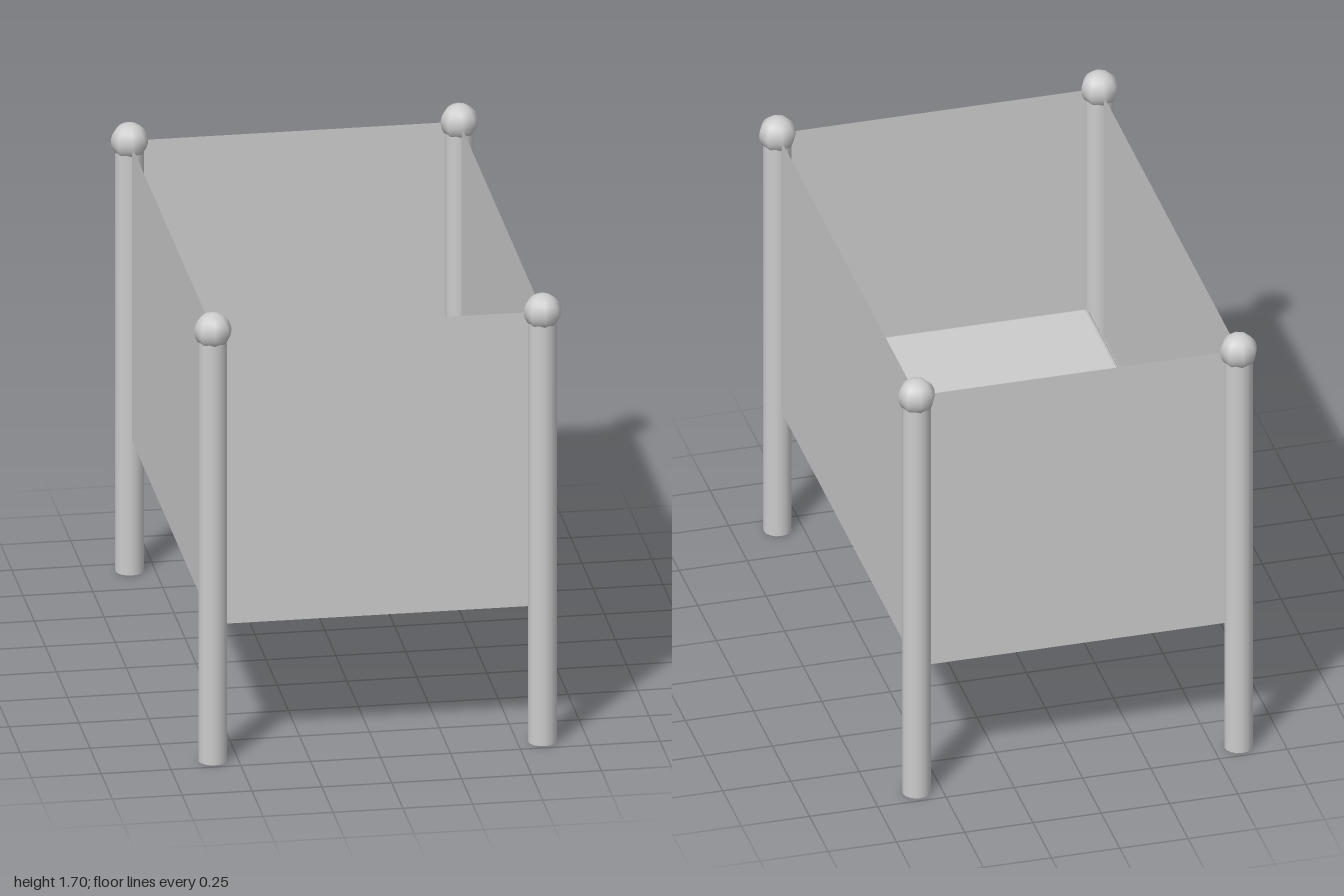
import * as THREE from 'three';
import { RoundedBoxGeometry } from 'three/addons/geometries/RoundedBoxGeometry.js';

export function createModel() {
  const group = new THREE.Group();
  group.name = 'crib';

  const grey = new THREE.MeshStandardMaterial({ color: 0xcccccc });
  grey.name = 'light grey';
  grey.side = THREE.DoubleSide; // the wall panels are single sheets

  const add = (name, geometry, x, y, z, turn = 0) => {
    const mesh = new THREE.Mesh(geometry, grey);
    mesh.name = name;
    mesh.position.set(x, y, z);
    mesh.rotation.y = turn;
    group.add(mesh);
  };

  const postX = 0.59, postZ = 0.933, postRadius = 0.051;
  const railTop = 1.63, railBottom = 0.515;
  const panelHeight = railTop - railBottom;
  const panelY = (railTop + railBottom) / 2;

  // Corner posts with ball finials
  const post = new THREE.CylinderGeometry(postRadius, postRadius, railTop, 16);
  const ball = new THREE.SphereGeometry(0.067, 8, 16);
  for (const sx of [-1, 1]) {
    for (const sz of [-1, 1]) {
      add('post', post, sx * postX, railTop / 2, sz * postZ);
      add('finial', ball, sx * postX, railTop, sz * postZ);
    }
  }

  // Thin wall panels running between the posts
  const endPanel = new THREE.PlaneGeometry(2 * (postX - postRadius), panelHeight);
  const sidePanel = new THREE.PlaneGeometry(2 * (postZ - postRadius), panelHeight);
  for (const s of [-1, 1]) {
    add('endPanel', endPanel, 0, panelY, s * postZ, s > 0 ? 0 : Math.PI);
    add('sidePanel', sidePanel, s * postX, panelY, 0, s * Math.PI / 2);
  }

  // Bedding
  add('mattress', new THREE.BoxGeometry(1.11, 0.2, 1.79), 0, 0.615, -0.005);
  add('blanket', new RoundedBoxGeometry(1.08, 0.1, 1.08, 3, 0.025), 0, 0.715, 0.35);
  add('pillow', new RoundedBoxGeometry(0.575, 0.12, 0.305, 3, 0.055), 0, 0.765, -0.695);

  return group;
}
